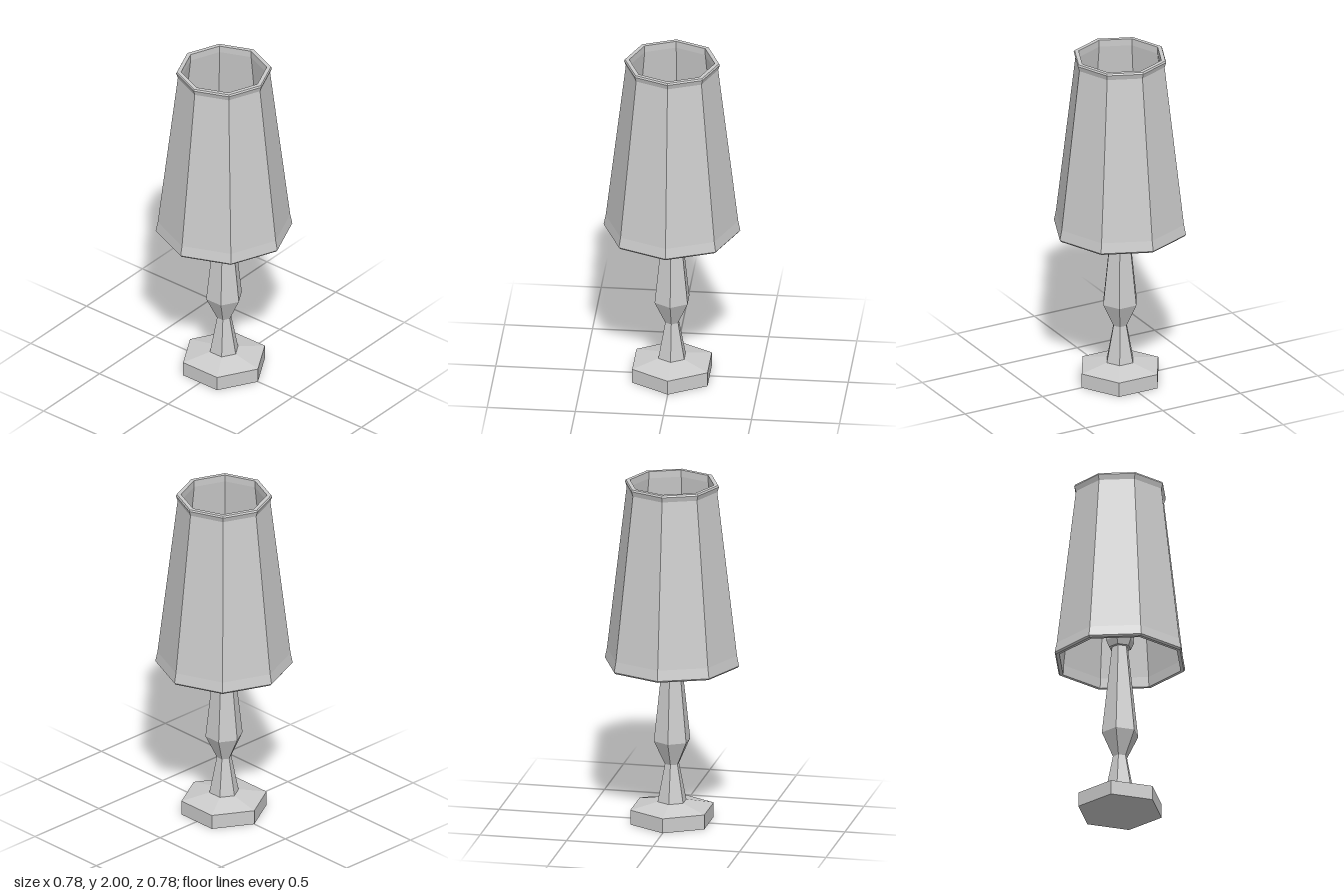
import * as THREE from 'three';

const material = new THREE.MeshStandardMaterial({ color: 0xcccccc, flatShading: true });

// Faceted solid of revolution; profile is [radius, height] pairs, outside running upwards
function turned(name, sides, profile) {
  const points = profile.map(([r, y]) => new THREE.Vector2(r, y));
  const geometry = new THREE.LatheGeometry(points, sides, Math.PI / 2); // a corner on the x axis
  const mesh = new THREE.Mesh(geometry, material);
  mesh.name = name;
  return mesh;
}

export function createModel() {
  const lamp = new THREE.Group();
  lamp.name = 'tableLamp';

  // Hexagonal foot with a shallow sloped top
  lamp.add(turned('base', 6, [[0, 0], [0.247, 0], [0.247, 0.085], [0.085, 0.12], [0, 0.12]]));

  // Waisted stem tapering up into the shade
  lamp.add(turned('stem', 6, [[0.085, 0.12], [0.042, 0.34], [0.108, 0.48], [0.047, 1.03]]));

  // Collar holding the bulb
  lamp.add(turned('socket', 6, [[0, 1.02], [0.065, 1.02], [0.083, 1.06], [0.083, 1.12], [0, 1.12]]));

  // Faceted bulb
  lamp.add(turned('bulb', 6, [[0.06, 1.12], [0.124, 1.29], [0.107, 1.37], [0.052, 1.43], [0, 1.445]]));

  // Hollow octagonal shade with flared rims: up the outside, over the top, down the inside
  lamp.add(turned('shade', 8, [
    [0.36, 0.93], [0.38, 0.93], [0.388, 0.94], [0.376, 1.0],
    [0.262, 1.96], [0.272, 1.99], [0.267, 2.0], [0.243, 2.0],
    [0.243, 1.96], [0.357, 0.99], [0.36, 0.93],
  ]));

  return lamp;
}
